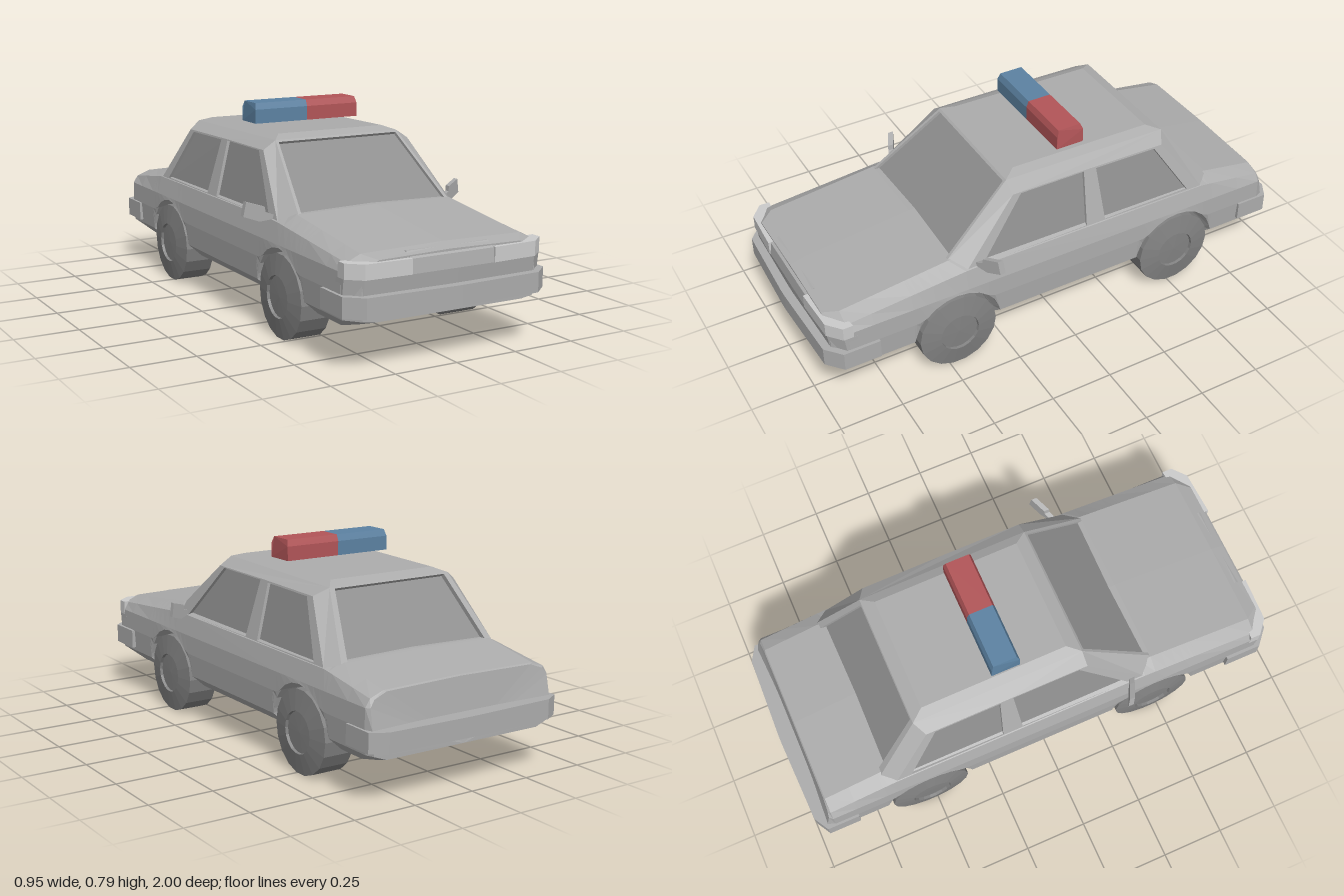
import * as THREE from 'three';

const paint = color => new THREE.MeshStandardMaterial({ color, flatShading: true });
const bodyPaint = paint(0xacacac), glassPaint = paint(0x8e8e8e), tyrePaint = paint(0x828282);
const lampPaint = paint(0xd8d8d8), redPaint = paint(0xb25558), bluePaint = paint(0x5c82a2);

function addMesh(parent, name, geometry, material = bodyPaint) {
  const mesh = new THREE.Mesh(geometry, material);
  mesh.name = name;
  parent.add(mesh);
  return mesh;
}

// Collects flat quads and triangles
class Faces {
  constructor() { this.p = []; }
  tri(...pts) { pts.forEach(v => this.p.push(...v)); }
  quad(a, b, c, d) { this.tri(a, b, c); this.tri(a, c, d); }
  pair(...q) { // a quad and its mirror image across x = 0
    this.quad(...q);
    this.quad(...q.map(flip).reverse());
  }
  build() {
    const g = new THREE.BufferGeometry();
    g.setAttribute('position', new THREE.Float32BufferAttribute(this.p, 3));
    g.computeVertexNormals();
    return g;
  }
}
const flip = ([x, y, z]) => [-x, y, z];

// Piecewise linear lookup in [[position, value], ...] with rising positions
function along(table, t) {
  if (t <= table[0][0]) return table[0][1];
  for (let i = 1; i < table.length; i++) {
    const [a, va] = table[i - 1], [b, vb] = table[i];
    if (t <= b) return va + (vb - va) * (t - a) / (b - a);
  }
  return table[table.length - 1][1];
}

const WHEELS = [0.46, -0.52], AXLE = 0.16, ARCH = 0.18;
const topLine = [[-0.95, 0.395], [-0.92, 0.4], [-0.68, 0.443], [0.46, 0.455], [0.9, 0.405], [0.955, 0.39]];
const shoulderLine = [[-0.95, 0.375], [-0.65, 0.42], [0.4, 0.425], [0.9, 0.38], [0.955, 0.365]];
const floorLine = [[-0.95, 0.165], [-0.82, 0.135], [0.8, 0.135], [0.965, 0.18]];
const widthLine = [[-0.95, 0.97], [-0.92, 1], [0.9, 1], [0.955, 0.88]];

// Lower body: cross-sections lofted from nose to tail, raised over the wheels
function lowerBody() {
  const stations = [0.955, 0.9, 0.8].map(z => [z, 0]);
  WHEELS.forEach(c => {
    stations.push([c + ARCH, 0]);
    for (let i = 0; i <= 12; i++) {
      const a = Math.PI * i / 12;
      stations.push([c + ARCH * Math.cos(a), AXLE + ARCH * Math.sin(a)]);
    }
    stations.push([c - ARCH, 0]);
  });
  [-0.82, -0.92, -0.95].forEach(z => stations.push([z, 0]));

  const rings = stations.map(([z, arch]) => {
    const top = along(topLine, z), low = Math.max(arch, along(floorLine, z)), w = along(widthLine, z);
    const half = [[0, 0], [0.345, 0.135], [0.4, 0.185], [0.406, 0.275], [0.404, 0.35],
      [0.385, along(shoulderLine, z)], [0.33, top], [0, top + 0.006]]
      .map(([x, y]) => {
        const h = Math.max(y, low);
        return [x * w, h, z === -0.95 ? z + Math.max(0, h - 0.27) * 0.2 : z];
      });
    return [...half, ...half.slice(1, -1).reverse().map(flip)];
  });
  const f = new Faces(), n = rings[0].length;
  for (let i = 0; i < rings.length - 1; i++)
    for (let j = 0; j < n; j++) {
      const k = (j + 1) % n;
      f.quad(rings[i + 1][j], rings[i + 1][k], rings[i][k], rings[i][j]);
    }
  const nose = rings[0], tail = rings[rings.length - 1];
  for (let j = 1; j < n - 1; j++) {
    f.tri(nose[0], nose[j], nose[j + 1]);
    f.tri(tail[0], tail[j + 1], tail[j]);
  }
  return f.build();
}

// A panel with a recessed pane; corners run counter-clockwise, hole is [u0, u1, v0, v1]
function framedPane(frame, glass, o, [u0, u1, v0, v1], depth = 0.012) {
  const c = o.map(p => new THREE.Vector3(...p));
  const at = (u, v) => c[0].clone().lerp(c[1], u).lerp(c[3].clone().lerp(c[2], u), v);
  const normal = c[1].clone().sub(c[0]).cross(c[3].clone().sub(c[0])).normalize();
  const hole = [at(u0, v0), at(u1, v0), at(u1, v1), at(u0, v1)];
  const sunk = hole.map(p => p.clone().addScaledVector(normal, -depth).toArray());
  const rim = hole.map(p => p.toArray());
  for (let i = 0; i < 4; i++) {
    const k = (i + 1) % 4;
    frame.quad(o[i], o[k], rim[k], rim[i]);
    frame.quad(rim[i], rim[k], sunk[k], sunk[i]);
  }
  glass.quad(...sunk);
}

function cabin(group) {
  const frame = new Faces(), glass = new Faces();
  const baseF = [0.325, 0.45, 0.465], baseR = [0.34, 0.435, -0.69];
  const sideF = [0.382, 0.42, 0.41], sideR = [0.382, 0.42, -0.64];
  const shoulderF = [0.32, 0.648, 0.18], shoulderR = [0.32, 0.64, -0.48];
  const roofF = [0.268, 0.682, 0.18], roofR = [0.268, 0.67, -0.51];
  const topF = [0.23, 0.697, 0.13], topR = [0.23, 0.687, -0.46];
  const postLow = [0.382, 0.42, -0.15], postHigh = [0.32, 0.646, -0.15];

  // Windscreen and rear window
  framedPane(frame, glass, [flip(baseF), baseF, roofF, flip(roofF)], [0.02, 0.98, 0.01, 0.97]);
  framedPane(frame, glass, [baseR, flip(baseR), flip(roofR), roofR], [0.04, 0.96, 0.01, 0.98], 0.018);
  // Side windows on both sides
  const sides = [
    [[sideF, postLow, postHigh, shoulderF], [0.115, 0.93, 0.03, 0.98]],
    [[postLow, sideR, shoulderR, postHigh], [0.09, 0.88, 0.03, 0.97]],
  ];
  sides.forEach(([q, [u0, u1, v0, v1]]) => {
    framedPane(frame, glass, q, [u0, u1, v0, v1]);
    const m = [q[1], q[0], q[3], q[2]].map(flip);
    framedPane(frame, glass, m, [1 - u1, 1 - u0, v0, v1]);
  });
  // Pillars and roof
  frame.pair(baseF, sideF, shoulderF, roofF);
  frame.pair(sideR, baseR, roofR, shoulderR);
  frame.pair(shoulderF, postHigh, roofR, roofF);
  frame.tri(postHigh, shoulderR, roofR);
  frame.tri(flip(roofR), flip(shoulderR), flip(postHigh));
  frame.pair(roofF, roofR, topR, topF);
  frame.quad(flip(roofF), roofF, topF, flip(topF));
  frame.quad(roofR, flip(roofR), flip(topR), topR);
  frame.quad(flip(topF), topF, topR, flip(topR));
  addMesh(group, 'cabin', frame.build());
  addMesh(group, 'windows', glass.build(), glassPaint);
}

const shapeOf = pts => new THREE.Shape(pts.map(p => new THREE.Vector2(...p)));
const extrude = (pts, depth) => new THREE.ExtrudeGeometry(shapeOf(pts), { depth, bevelEnabled: false });
const mirrored = pts => [...pts, ...pts.slice().reverse().map(([x, z]) => [-x, z])];
// Plan outline in (x, z), raised from y0 to y1
const slab = (pts, y0, y1) => extrude(pts, y1 - y0).rotateX(Math.PI / 2).translate(0, y1, 0);
// Side outline in (z, y), running from x = 0 to x = length
const bar = (pts, length) => extrude(pts.map(([z, y]) => [-z, y]), length).rotateY(Math.PI / 2);

// Moves every vertex of a geometry by a rule
function reshape(geometry, rule) {
  const p = geometry.attributes.position;
  for (let i = 0; i < p.count; i++) p.setXYZ(i, ...rule(p.getX(i), p.getY(i), p.getZ(i)));
  geometry.computeVertexNormals();
  return geometry;
}

export function createModel() {
  const car = new THREE.Group();
  car.name = 'patrolCar';
  addMesh(car, 'lowerBody', lowerBody());
  cabin(car);

  // Bumpers wrap around the corners
  addMesh(car, 'frontBumper', slab(mirrored([[0.395, 0.785], [0.418, 0.785], [0.418, 0.93], [0.355, 0.985],
    [0.02, 0.998]]).concat([[-0.395, 0.785], [-0.395, 0.9], [-0.33, 0.94], [0.33, 0.94], [0.395, 0.9]]), 0.2, 0.275));
  addMesh(car, 'rearBumper', slab(mirrored([[0.395, -0.825], [0.415, -0.825], [0.415, -0.955], [0.355, -0.99],
    [0.02, -1]]).concat([[-0.395, -0.825], [-0.395, -0.92], [0.395, -0.92]]), 0.2, 0.275));
  // Nose band leans forward toward the headlights, with a sloped grille above
  addMesh(car, 'noseBand', reshape(
    slab(mirrored([[0.405, 0.86], [0.405, 0.91], [0.35, 0.955], [0.02, 0.963]]), 0.27, 0.33),
    (x, y, z) => [x, y, y > 0.3 ? z + 0.008 : z]));
  addMesh(car, 'grille', bar([[0.92, 0.33], [0.972, 0.33], [0.965, 0.382], [0.93, 0.402], [0.92, 0.402]], 0.34)
    .translate(-0.17, 0, 0));

  // Roof light: a chamfered bar, slightly shorter along its top edge
  const lamp = bar([[-0.175, 0.71], [-0.06, 0.71], [-0.06, 0.765], [-0.07, 0.79], [-0.165, 0.79], [-0.175, 0.765]], 0.23);
  reshape(lamp, (x, y, z) => [y > 0.78 ? x * 0.975 : x, y, z]);
  addMesh(car, 'leftRoofLight', lamp, redPaint);
  addMesh(car, 'rightRoofLight', lamp.clone().rotateY(Math.PI).translate(0, 0, -0.235), bluePaint);

  // Wheel profile with a recessed hub
  const profile = [[0, -0.065], [0.08, -0.07], [0.15, -0.066], [0.16, -0.06], [0.16, 0.06], [0.08, 0.073],
    [0.078, 0.062], [0, 0.064]].map(q => new THREE.Vector2(...q));

  for (const s of [1, -1]) {
    const side = s > 0 ? 'left' : 'right';
    addMesh(car, side + 'Headlight', slab([[0.17, 0.9], [0.17, 0.975], [0.35, 0.967], [0.405, 0.92], [0.405, 0.88]]
      .map(([x, z]) => [x * s, z]), 0.33, 0.385), lampPaint);

    // Door mirror, swept back toward its tip
    const mirror = extrude([[0.37, 0.41], [0.385, 0.425], [0.422, 0.417], [0.475, 0.435], [0.465, 0.49],
      [0.405, 0.472], [0.402, 0.452], [0.37, 0.44]].map(([x, y]) => [x * s, y]), 0.022).translate(0, 0, 0.335);
    addMesh(car, side + 'Mirror', reshape(mirror, (x, y, z) => [x, y, z - (Math.abs(x) - 0.4) * 0.5]));

    WHEELS.forEach((z, i) => {
      const tyre = new THREE.LatheGeometry(profile, 18).rotateZ(-s * Math.PI / 2);
      addMesh(car, side + (i ? 'RearWheel' : 'FrontWheel'), tyre, tyrePaint).position.set(s * 0.34, AXLE, z);
    });
  }
  return car;
}
